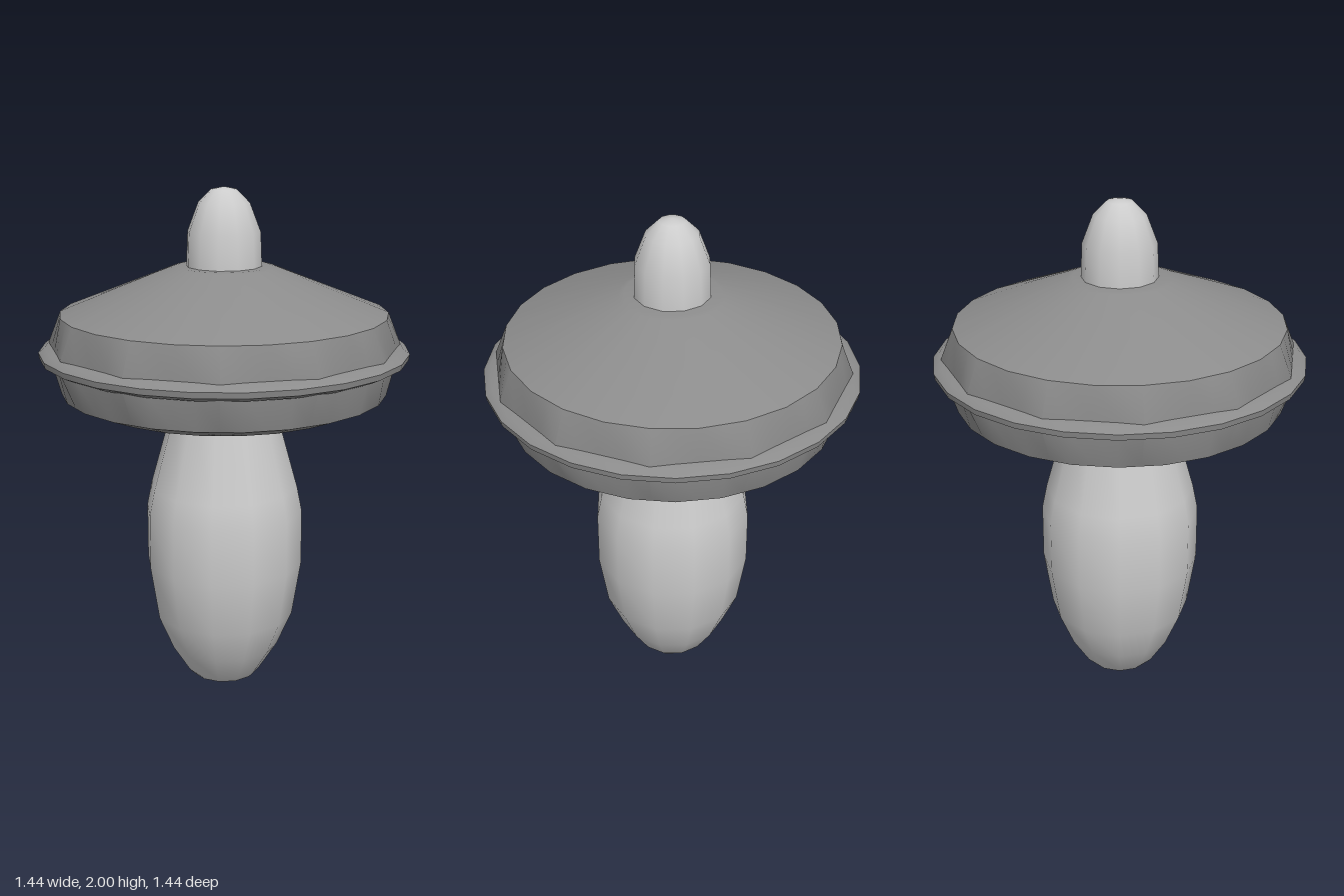
import * as THREE from 'three';
import { toCreasedNormals } from 'three/addons/utils/BufferGeometryUtils.js';

// Radius of an n-sided polygon (corner radius 1) at angle a, first corner at `turn`
function polygonRadius(a, n, turn) {
  const step = (Math.PI * 2) / n;
  const t = (((a - turn) % step) + step) % step;
  return Math.cos(step / 2) / Math.cos(t - step / 2);
}

// Lathe whose rings [radius, y, sides, turn] are polygons of differing side counts
function ringLathe(rings, segments, crease) {
  const geo = new THREE.LatheGeometry(rings.map(([r, y]) => new THREE.Vector2(r, y)), segments);
  const pos = geo.attributes.position;
  for (let i = 0; i < pos.count; i++) {
    const [, , sides, turn = 0] = rings[i % rings.length];
    const angle = (Math.floor(i / rings.length) / segments) * Math.PI * 2;
    const k = polygonRadius(angle, sides, turn);
    pos.setXYZ(i, pos.getX(i) * k, pos.getY(i), pos.getZ(i) * k);
  }
  return toCreasedNormals(geo, crease);
}

export function createModel() {
  const model = new THREE.Group();
  const pale = new THREE.MeshStandardMaterial({ color: 0xcccccc });
  const dark = new THREE.MeshStandardMaterial({ color: 0x8c8c8c });
  const turn = Math.PI / 24;

  // Bulging stem running through the cap and ending in a rounded tip
  const stemProfile = [
    [0, 0.003], [0.13, 0.01], [0.15, 0.03], [0.22, 0.14], [0.28, 0.28], [0.315, 0.5],
    [0.315, 0.72], [0.295, 0.82], [0.2, 1.16], [0.15, 1.4], [0.147, 1.7],
    [0.142, 1.83], [0.1, 1.94], [0.05, 1.99], [0, 2],
  ].map(([r, y]) => [r, y, 12]);
  const stem = new THREE.Mesh(ringLathe(stemProfile, 12, 1.2), pale);
  stem.name = 'stem';
  model.add(stem);

  // Wide cap: shallow underside, faceted lower band, upper band and sloping top
  const capProfile = [
    [0, 1.165, 24], [0.52, 1.165, 24], [0.635, 1.21, 24], [0.685, 1.34, 12, turn],
    [0.685, 1.4, 12, turn], [0.637, 1.52, 24, turn], [0.2, 1.695, 24], [0.18, 1.7, 24], [0, 1.7, 24],
  ];
  const cap = new THREE.Mesh(ringLathe(capProfile, 48, 0.6), dark);
  cap.name = 'cap';
  model.add(cap);

  // Thin brim projecting around the middle of the cap
  const brimProfile = [
    [0.64, 1.33, 24], [0.675, 1.333, 24], [0.716, 1.352, 24],
    [0.72, 1.375, 24], [0.695, 1.394, 24], [0.64, 1.4, 24],
  ];
  const brim = new THREE.Mesh(ringLathe(brimProfile, 24, 0.6), dark);
  brim.name = 'brim';
  model.add(brim);

  return model;
}
